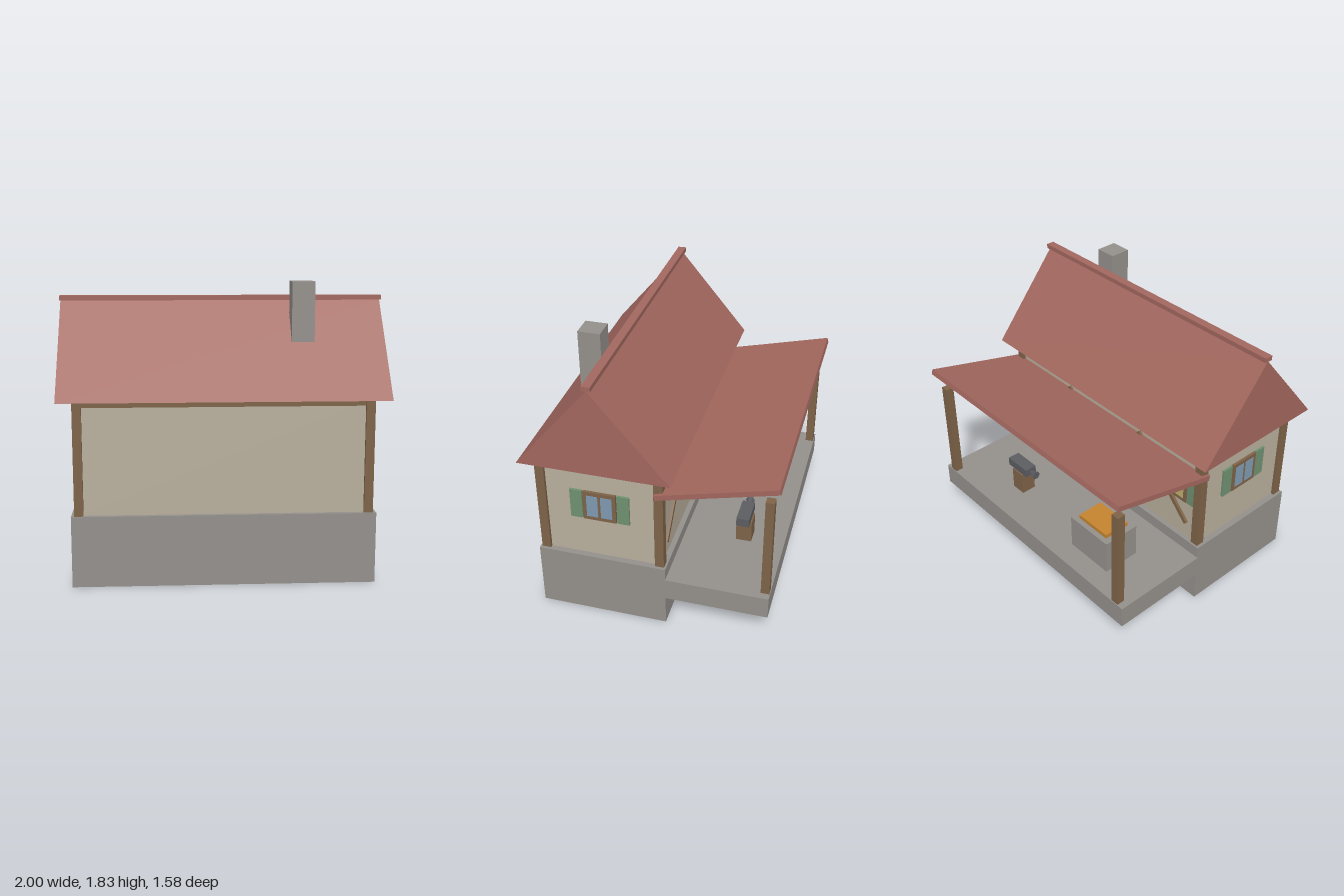
import * as THREE from 'three';

const mat = (color) => new THREE.MeshStandardMaterial({ color, flatShading: true });
const M = {
  stone: mat(0x94908c), plaster: mat(0xb8af9c), wood: mat(0x7e6348), darkWood: mat(0x5f4834),
  tile: mat(0xa2675e), glass: mat(0x7f9ab2), warmGlass: mat(0xc2b06c), shutter: mat(0x6f9070),
  iron: mat(0x5c5d62), ember: mat(0xc4842f), brass: mat(0x8a7430),
};

// Box from its lower and upper limits along each axis
function box(parent, name, m, [x0, x1], [y0, y1], [z0, z1]) {
  const mesh = new THREE.Mesh(new THREE.BoxGeometry(x1 - x0, y1 - y0, z1 - z0), m);
  mesh.position.set((x0 + x1) / 2, (y0 + y1) / 2, (z0 + z1) / 2);
  mesh.name = name;
  parent.add(mesh);
  return mesh;
}

// Shuttered window lying on the xy plane and facing +z
function shutteredWindow(name, glass) {
  const g = new THREE.Group();
  g.name = name;
  box(g, 'windowFrame', M.wood, [-0.105, 0.105], [-0.103, 0.103], [-0.01, 0.018]);
  for (const s of [-1, 1]) {
    const pane = box(g, 'windowPane', glass, [-0.036, 0.036], [-0.077, 0.077], [0, 0.021]);
    pane.position.x = s * 0.045;
    const shutter = box(g, 'shutter', M.shutter, [-0.039, 0.039], [-0.103, 0.103], [-0.01, 0.015]);
    shutter.position.x = s * 0.15;
  }
  return g;
}

export function createModel() {
  const house = new THREE.Group();
  house.name = 'workshopHouse';

  // Foundation, walls and porch floor
  box(house, 'foundation', M.stone, [-0.925, 0.925], [0, 0.44], [-0.1, 0.73]);
  box(house, 'walls', M.plaster, [-0.885, 0.885], [0.44, 1.14], [-0.065, 0.7]);
  box(house, 'porchFloor', M.stone, [-0.93, 0.93], [0.21, 0.36], [-0.755, -0.095]);

  // Timber frame: corner posts, top beams, porch posts and wall braces
  for (const s of [-1, 1]) {
    for (const z of [0.69, -0.058]) {
      const post = box(house, 'cornerPost', M.wood, [-0.0275, 0.0275], [0.44, 1.14], [z - 0.029, z + 0.029]);
      post.position.x = s * 0.878;
    }
    const beam = box(house, 'sideBeam', M.wood, [-0.01, 0.01], [1.1, 1.14], [-0.06, 0.69]);
    beam.position.x = s * 0.887;
    const porchPost = box(house, 'porchPost', M.wood, [-0.027, 0.027], [0.36, 1.06], [-0.75, -0.696]);
    porchPost.position.x = s * 0.857;
    const brace = box(house, 'wallBrace', M.wood, [-0.33, 0.33], [0.775, 0.805], [-0.082, -0.055]);
    brace.position.x = s * 0.56;
    brace.rotation.z = -s * 0.81;
  }
  box(house, 'frontBeam', M.wood, [-0.88, 0.88], [1.1, 1.14], [0.69, 0.712]);
  box(house, 'backBeam', M.wood, [-0.88, 0.88], [1.1, 1.14], [-0.08, -0.06]);

  // Gabled main roof, ridge cap and chimney
  const gable = new THREE.Shape([
    new THREE.Vector2(-0.16, 1.14), new THREE.Vector2(0.79, 1.14), new THREE.Vector2(0.315, 1.71),
  ]);
  const roofGeo = new THREE.ExtrudeGeometry(gable, { depth: 1.99, bevelEnabled: false });
  roofGeo.rotateY(-Math.PI / 2).translate(0.995, 0, 0);
  const roof = new THREE.Mesh(roofGeo, M.tile);
  roof.name = 'mainRoof';
  house.add(roof);
  box(house, 'ridgeCap', M.tile, [-1, 1], [1.71, 1.74], [0.288, 0.342]);
  box(house, 'chimney', M.stone, [0.42, 0.56], [1.4, 1.83], [0.38, 0.52]);

  // Porch roof, rising away from the wall
  const awning = box(house, 'porchRoof', M.tile, [-0.927, 0.927], [1.067, 1.102], [-0.797, -0.027]);
  awning.rotation.x = 0.25;

  // Windows on both gable walls and the porch wall
  for (const [x, z, turn, glass] of [
    [0.885, 0.317, Math.PI / 2, M.glass], [-0.885, 0.317, -Math.PI / 2, M.glass],
    [0.38, -0.068, Math.PI, M.warmGlass], [-0.68, -0.068, Math.PI, M.warmGlass],
  ]) {
    const w = shutteredWindow('shutteredWindow', glass);
    w.position.set(x, 0.828, z);
    w.rotation.y = turn;
    house.add(w);
  }

  // Door with lintel and knob
  box(house, 'door', M.darkWood, [-0.287, -0.026], [0.44, 0.94], [-0.083, -0.05]);
  box(house, 'doorLintel', M.darkWood, [-0.287, -0.026], [0.9, 0.94], [-0.089, -0.05]);
  const knob = new THREE.Mesh(new THREE.SphereGeometry(0.011, 8, 6), M.brass);
  knob.name = 'doorKnob';
  knob.position.set(-0.05, 0.672, -0.088);
  house.add(knob);

  // Forge hearth
  box(house, 'hearth', M.stone, [-0.632, -0.293], [0.36, 0.595], [-0.615, -0.363]);
  box(house, 'hearthCoals', M.ember, [-0.59, -0.335], [0.595, 0.622], [-0.58, -0.4]);

  // Anvil on its block
  box(house, 'anvilBlock', M.wood, [0.323, 0.428], [0.36, 0.517], [-0.54, -0.438]);
  box(house, 'anvilBody', M.iron, [0.287, 0.48], [0.517, 0.575], [-0.53, -0.447]);
  const horn = new THREE.Mesh(new THREE.ConeGeometry(0.03, 0.09, 6), M.iron);
  horn.name = 'anvilHorn';
  horn.rotation.z = -Math.PI / 2;
  horn.position.set(0.275, 0.545, -0.488);
  house.add(horn);

  return house;
}
